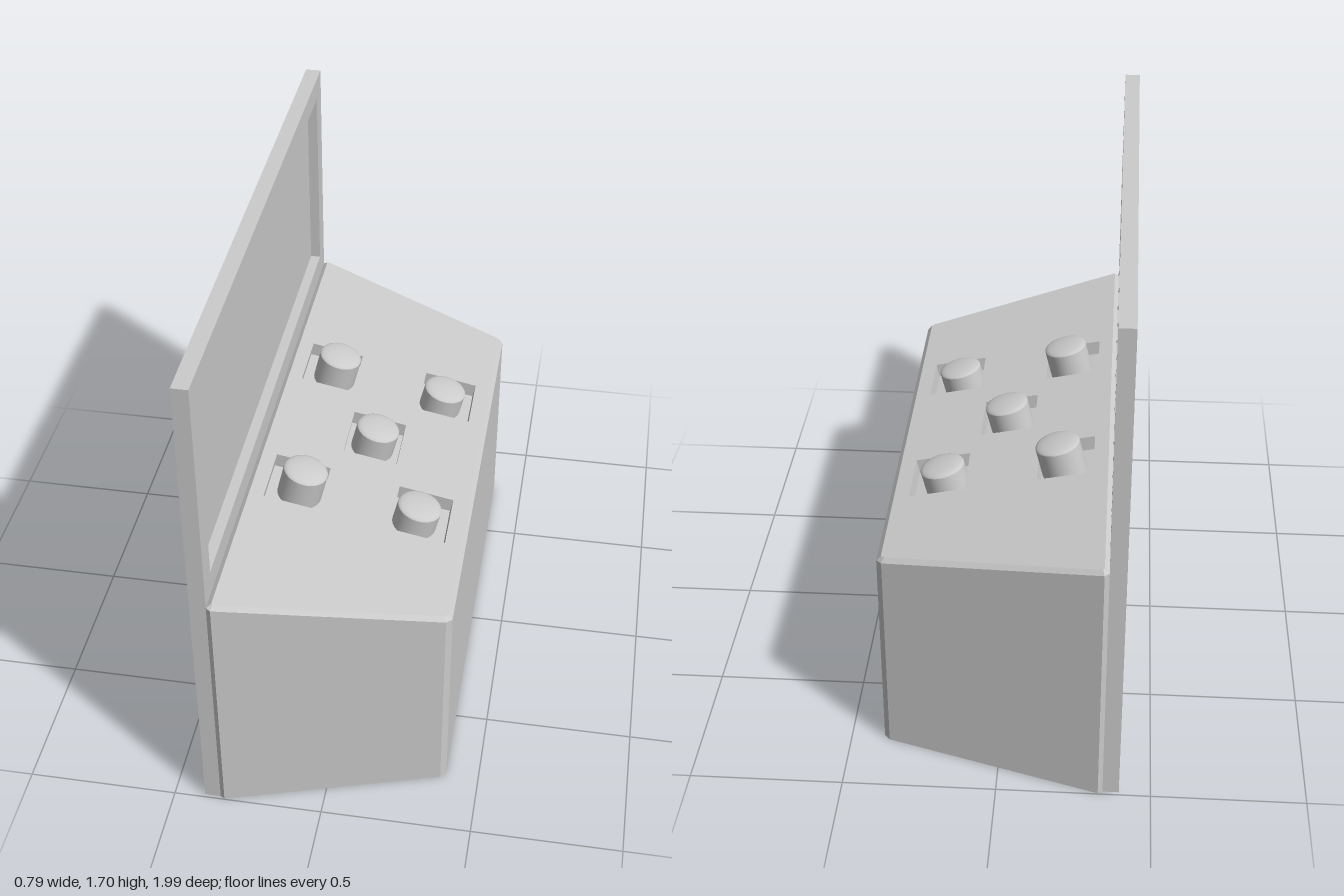
import * as THREE from 'three';

const sheet = new THREE.MeshStandardMaterial({ color: 0xcccccc, side: THREE.DoubleSide, flatShading: true });
const smooth = new THREE.MeshStandardMaterial({ color: 0xcccccc });

// height of the sloping desk top
const deskY = (x) => 0.882 - 0.2 * (x + 0.33);
const slope = Math.atan(0.2);

function add(parent, name, geometry, material = sheet) {
  const mesh = new THREE.Mesh(geometry, material);
  mesh.name = name;
  parent.add(mesh);
  return mesh;
}

// faceted strip of quads joining two rows of [x, y, z] points
function strip(a, b, closed = false) {
  const pos = [];
  const n = a.length;
  for (let i = 0; i < (closed ? n : n - 1); i++) {
    const j = (i + 1) % n;
    pos.push(...a[i], ...a[j], ...b[j], ...a[i], ...b[j], ...b[i]);
  }
  const g = new THREE.BufferGeometry();
  g.setAttribute('position', new THREE.Float32BufferAttribute(pos, 3));
  g.computeVertexNormals();
  return g;
}

// corners of a rectangle, as [u, v] pairs
const rect = (u0, u1, v0, v1) => [[u0, v0], [u1, v0], [u1, v1], [u0, v1]];
const toPath = (pts, Type = THREE.Path) => new Type(pts.map(([u, v]) => new THREE.Vector2(u, v)));

// plan outline from the half on the +z side, mirrored to -z
const mirrorPlan = (half) => [...half, ...half.map(([x, z]) => [x, -z]).reverse()];

export function createModel() {
  const model = new THREE.Group();
  model.name = 'controlConsole';

  // desk: thin shell, open at the back and underneath
  const desk = new THREE.Group();
  desk.name = 'desk';
  model.add(desk);
  const outer = mirrorPlan([[-0.345, 0.988], [-0.33, 0.997], [0.372, 0.785], [0.39, 0.765]]);
  const inner = mirrorPlan([[-0.33, 0.978], [-0.325, 0.982], [0.364, 0.773], [0.375, 0.763]]);
  const foot = outer.map(([x, z]) => [x, 0, z]);
  const shoulder = outer.map(([x, z]) => [x, deskY(x) - 0.014, z]);
  const rim = inner.map(([x, z]) => [x, deskY(x), z]);
  add(desk, 'deskWalls', strip(foot, shoulder));
  add(desk, 'deskBevel', strip(shoulder, rim, true));

  // button layout: well centre, button centre, height of the button above the desk
  const buttons = [
    { x: -0.19, z: 0.33, bx: -0.174, rise: 0.057 },
    { x: -0.19, z: -0.33, bx: -0.174, rise: 0.057 },
    { x: 0.02, z: 0, bx: 0.02, rise: 0.043 },
    { x: 0.231, z: 0.33, bx: 0.216, rise: 0.03 },
    { x: 0.231, z: -0.33, bx: 0.216, rise: 0.03 },
  ];
  const wells = buttons.map(({ x, z }) => rect(x - 0.092, x + 0.092, z - 0.11, z + 0.11));

  // sloping top with a rectangular hole for each well
  const topShape = toPath(inner.map(([x, z]) => [x, -z]), THREE.Shape);
  wells.forEach((w) => topShape.holes.push(toPath(w.map(([x, z]) => [x, -z]))));
  const top = new THREE.ShapeGeometry(topShape).rotateX(-Math.PI / 2);
  const p = top.attributes.position;
  for (let i = 0; i < p.count; i++) p.setY(i, deskY(p.getX(i)));
  top.computeVertexNormals();
  add(desk, 'deskTop', top);

  // wells sunk square to the slope, each holding a domed push button
  const depth = 0.05;
  const dx = -depth * Math.sin(slope), dy = -depth * Math.cos(slope);
  buttons.forEach(({ z, bx, rise }, i) => {
    const unit = new THREE.Group();
    unit.name = 'buttonUnit';
    model.add(unit);
    const mouth = wells[i].map(([x, wz]) => [x, deskY(x), wz]);
    const floor = mouth.map(([x, y, wz]) => [x + dx, y + dy, wz]);
    add(unit, 'wellWalls', strip(floor, mouth, true));
    add(unit, 'wellFloor', strip([floor[0], floor[3]], [floor[1], floor[2]]));

    const button = new THREE.Group();
    button.name = 'button';
    button.position.set(bx, deskY(bx), z);
    button.rotation.z = -0.24;
    unit.add(button);
    const side = new THREE.CylinderGeometry(0.075, 0.075, rise + depth, 32, 1, true);
    add(button, 'buttonSide', side.translate(0, (rise - depth) / 2, 0), smooth);
    const dome = [];
    for (let k = 0; k <= 6; k++) {
      const t = (k / 6) * Math.PI / 2;
      dome.push(new THREE.Vector2(0.075 * Math.cos(t), rise + 0.016 * Math.sin(t)));
    }
    add(button, 'buttonCap', new THREE.LatheGeometry(dome, 32), smooth);
  });

  // upright back panel: front sheet with a recessed screen, folded edges behind
  const panel = new THREE.Group();
  panel.name = 'backPanel';
  model.add(panel);
  const W = 0.988, H = 1.7, front = -0.345, back = -0.398, recess = -0.38;
  const screen = rect(-0.91, 0.91, 0.95, 1.625);
  const face = toPath(rect(-W, W, 0.871, H), THREE.Shape);
  face.holes.push(toPath(screen));
  add(panel, 'panelFace', new THREE.ShapeGeometry(face).rotateY(Math.PI / 2).translate(front, 0, 0));

  const at = (pts, x) => pts.map(([z, y]) => [x, y, z]);
  const edge = [[-W, 0], [-W, H], [W, H], [W, 0]];
  add(panel, 'panelEdge', strip(at(edge, back), at(edge, front)));
  add(panel, 'screenReveal', strip(at(screen, front), at(screen, recess), true));
  const s = at(screen, recess);
  add(panel, 'screen', strip([s[1], s[0]], [s[2], s[3]]));

  return model;
}
